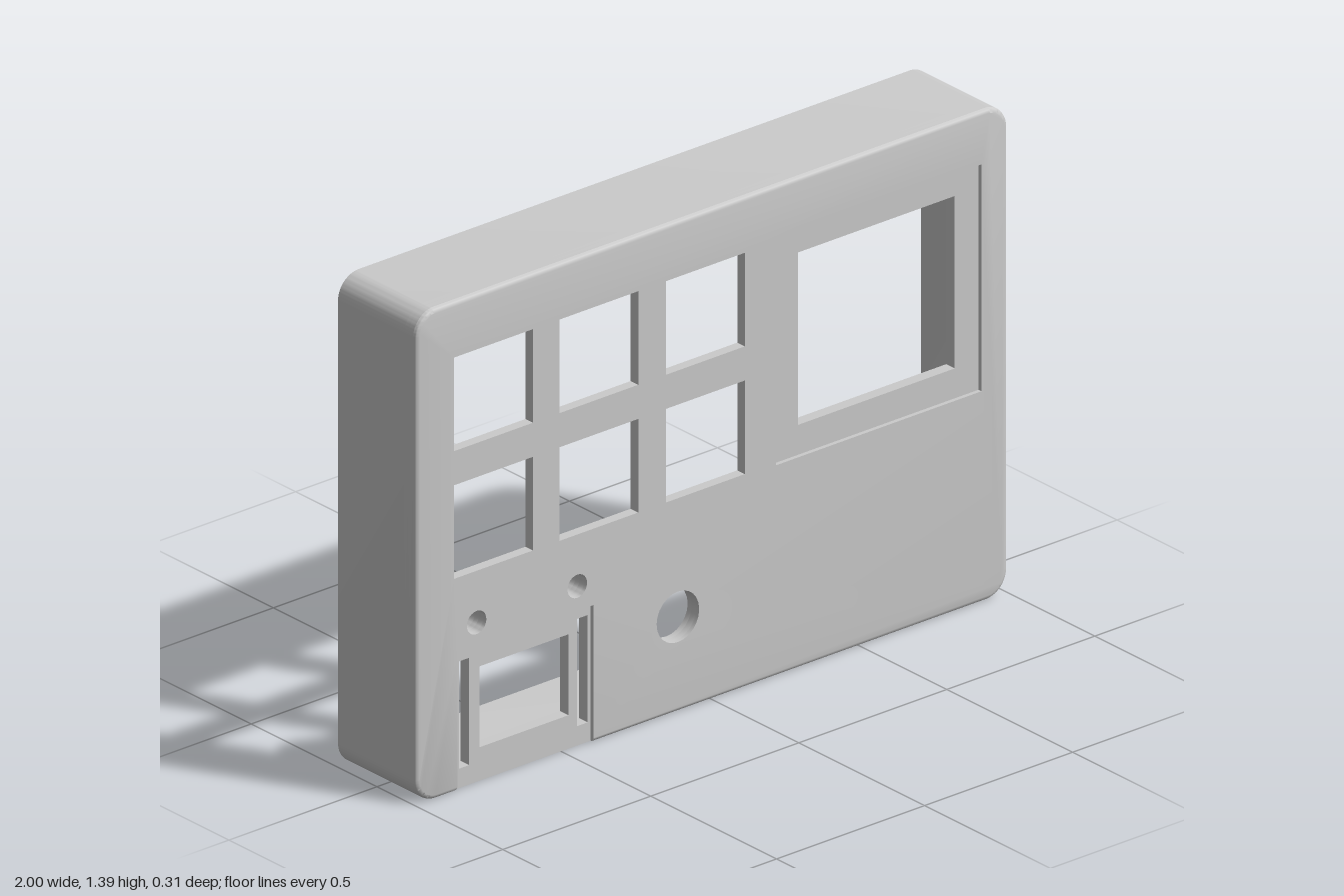
import * as THREE from 'three';
import { toCreasedNormals } from 'three/addons/utils/BufferGeometryUtils.js';

const H = 1.395, R = 0.07, BACK = -0.155, FRONT = 0.155;
const EDGE = 0.143, SKIN = 0.125, INNER = 0.109;   // depths of the panel layers
const material = new THREE.MeshStandardMaterial({ color: 0xcccccc });

// Rounded outline inset by d, with an optional notch [x0, x1, top] in its lower edge
function outline(P, d, notch) {
  const x = 1 - d, y0 = d, y1 = H - d, r = R - d, s = new P();
  s.moveTo(-x + r, y0);
  if (notch) {
    s.lineTo(notch[0], y0); s.lineTo(notch[0], notch[2]);
    s.lineTo(notch[1], notch[2]); s.lineTo(notch[1], y0);
  }
  s.lineTo(x - r, y0); s.absarc(x - r, y0 + r, r, -Math.PI / 2, 0);
  s.lineTo(x, y1 - r); s.absarc(x - r, y1 - r, r, 0, Math.PI / 2);
  s.lineTo(-x + r, y1); s.absarc(-x + r, y1 - r, r, Math.PI / 2, Math.PI);
  s.lineTo(-x, y0 + r); s.absarc(-x + r, y0 + r, r, Math.PI, Math.PI * 1.5);
  return s;
}

function rect(x0, x1, y0, y1) {
  return new THREE.Path([[x0, y0], [x0, y1], [x1, y1], [x1, y0], [x0, y0]].map(p => new THREE.Vector2(...p)));
}

function circle(P, x, y, r) {
  const c = new P();
  c.absarc(x, y, r, 0, Math.PI * 2);
  return c;
}

// Extrude a shape with holes between two depths
function slab(name, shape, holes, z0, z1, rule, steps = 1) {
  shape.holes.push(...holes);
  const g = new THREE.ExtrudeGeometry(shape, { depth: z1 - z0, bevelEnabled: false, curveSegments: 12, steps });
  g.translate(0, 0, z0);
  if (rule) rule(g.attributes.position);
  const mesh = new THREE.Mesh(toCreasedNormals(g, 0.6), material);
  mesh.name = name;
  return mesh;
}

// Round the front rim: pull the outline inward along a quarter circle
function roundRim(pos) {
  const f = FRONT - EDGE, cx = 1 - R, v = new THREE.Vector2(), c = new THREE.Vector2();
  for (let i = 0; i < pos.count; i++) {
    const t = Math.min(1, (pos.getZ(i) - EDGE) / f);
    const limit = R - f * (1 - Math.sqrt(Math.max(0, 1 - t * t)));
    v.set(pos.getX(i), pos.getY(i));
    c.set(THREE.MathUtils.clamp(v.x, -cx, cx), THREE.MathUtils.clamp(v.y, R, H - R));
    v.sub(c).clampLength(0, limit).add(c);
    pos.setXY(i, v.x, v.y);
  }
}

export function createModel() {
  const model = new THREE.Group();
  model.name = 'controlPanelHousing';
  const leds = [[-0.795, 0.46], [-0.455, 0.46]];

  // Six button windows, enlarged by m for the pockets behind them
  const buttons = m => {
    const list = [];
    for (const x of [-0.738, -0.382, -0.022])
      for (const y of [0.74, 1.103])
        list.push(rect(x - 0.133 - m, x + 0.133 + m, y - 0.133 - m, y + 0.133 + m));
    return list;
  };
  // Round openings shared by all panel layers
  const round = () => [
    circle(THREE.Path, -0.115, 0.27, 0.072),
    ...leds.map(([x, y]) => circle(THREE.Path, x, y, 0.033)),
  ];
  // Screen window, socket window and the two slots beside it
  const windows = () => [
    rect(0.3, 0.83, 0.685, 1.175),
    rect(-0.775, -0.475, 0.095, 0.325),
    rect(-0.845, -0.81, 0.055, 0.36),
    rect(-0.445, -0.41, 0.055, 0.36),
  ];

  // Front panel in three layers: recesses, skin, button pockets
  model.add(slab('frontFace', outline(THREE.Shape, 0, [-0.86, -0.4, 0.39]),
    [...buttons(0), ...round(), rect(0.217, 0.91, 0.6, 1.245)], EDGE, FRONT, roundRim, 4));
  model.add(slab('panelSkin', outline(THREE.Shape, 0),
    [...buttons(0), ...round(), ...windows()], SKIN, EDGE));
  model.add(slab('panelPockets', outline(THREE.Shape, 0),
    [...buttons(0.027), ...round(), ...windows()], INNER, SKIN));

  // Side walls, open at the back
  model.add(slab('sideWalls', outline(THREE.Shape, 0), [outline(THREE.Path, 0.03)], BACK, INNER));

  // Screw bosses in the corners
  for (const x of [-0.935, 0.935])
    for (const y of [0.065, H - 0.065])
      model.add(slab('screwBoss', circle(THREE.Shape, x, y, 0.055),
        [circle(THREE.Path, x, y, 0.03)], BACK, INNER));

  // Closed posts behind the two small blind holes
  for (const [x, y] of leds) {
    model.add(slab('postSleeve', circle(THREE.Shape, x, y, 0.073),
      [circle(THREE.Path, x, y, 0.033)], 0.07, INNER));
    model.add(slab('postEnd', circle(THREE.Shape, x, y, 0.073), [], 0.04, 0.07));
  }
  return model;
}
